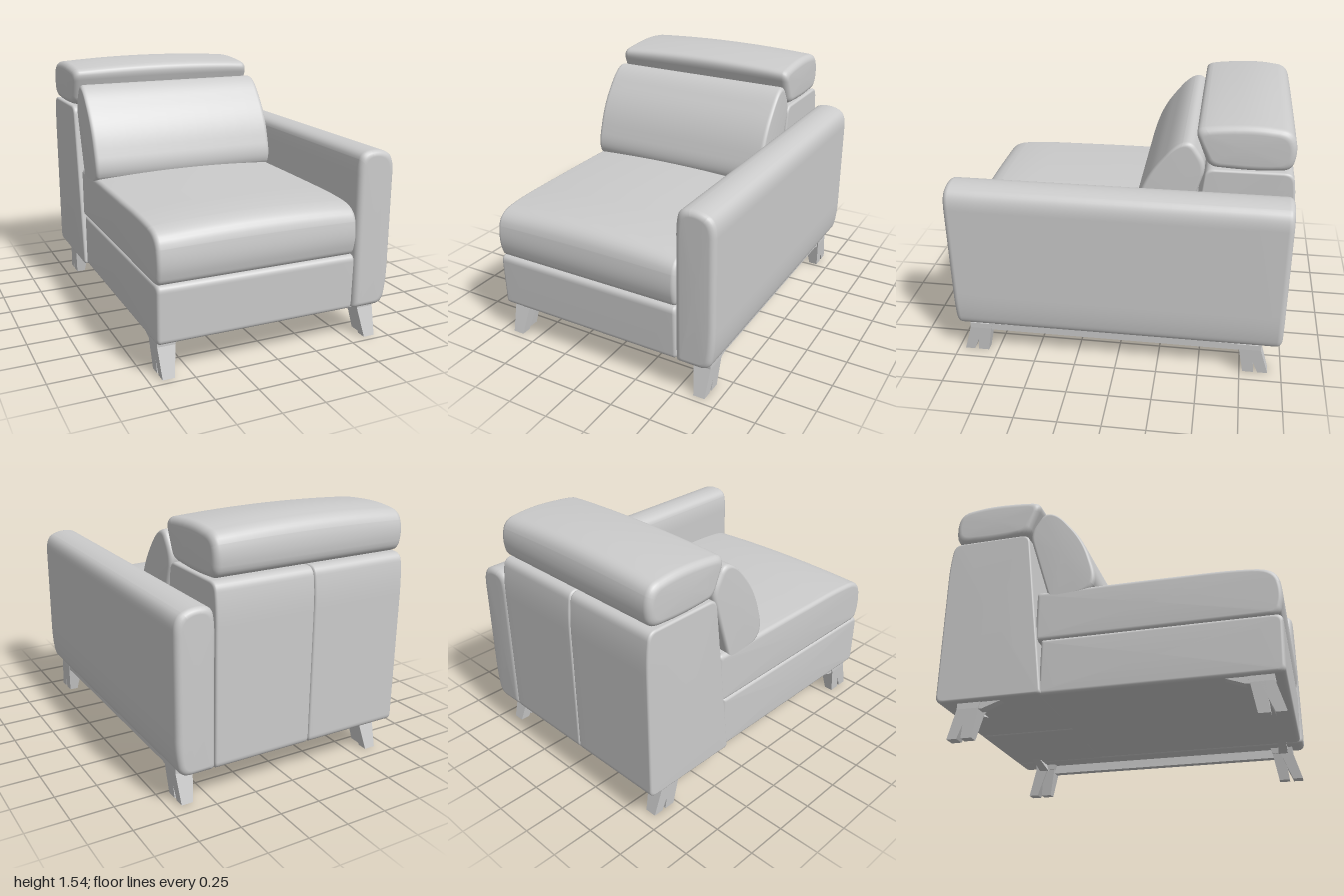
import * as THREE from 'three';

const material = new THREE.MeshStandardMaterial({ color: 0xcccccc, roughness: 0.8 });

// Closed outline from corners [a, b, radius], each corner rounded
function roundedOutline(corners) {
  const shape = new THREE.Shape();
  const n = corners.length;
  corners.forEach(([a, b, r = 0.02], i) => {
    const p = new THREE.Vector2(a, b);
    const [before, after] = [corners[(i + n - 1) % n], corners[(i + 1) % n]].map(([x, y]) => {
      const d = new THREE.Vector2(x, y).sub(p);
      return d.setLength(Math.min(r, d.length() * 0.49)).add(p);
    });
    if (i === 0) shape.moveTo(before.x, before.y);
    else shape.lineTo(before.x, before.y);
    shape.quadraticCurveTo(p.x, p.y, after.x, after.y);
  });
  shape.closePath();
  const points = shape.getPoints(7);
  points.pop();
  if (THREE.ShapeUtils.area(points) < 0) points.reverse();
  return points;
}

// Upholstered body: outline swept along z with rounded ends and an optional crown
function upholstery(corners, from, to, { round = 0.03, crown = 0, puff = 0.006 } = {}) {
  const outline = roundedOutline(corners);
  const box = new THREE.Box2().setFromPoints(outline);
  const c = box.getCenter(new THREE.Vector2());
  const half = box.getSize(new THREE.Vector2()).multiplyScalar(0.5);
  const rings = [];
  for (let i = 0; i <= 5; i++) {
    const a = (i / 5) * Math.PI / 2;
    rings.push([from + round * (1 - Math.cos(a)), round * (1 - Math.sin(a))]);
  }
  const ends = rings.map(([t, inset]) => [from + to - t, inset]).reverse();
  for (let i = 1; i < 12; i++) {
    rings.push([THREE.MathUtils.lerp(from + round, to - round, i / 12), 0]);
  }
  rings.push(...ends);

  const positions = [];
  const index = [];
  const n = outline.length;
  for (const [t, inset] of rings) {
    const u = (2 * (t - from)) / (to - from) - 1;
    for (const p of outline) {
      const dx = (p.x - c.x) / half.x;
      const dy = (p.y - c.y) / half.y;
      const lift = crown * (1 - u * u) * Math.max(0, dy);
      positions.push(c.x + dx * (half.x - inset), c.y + dy * (half.y - inset) + lift, t);
    }
  }
  for (let r = 0; r < rings.length - 1; r++) {
    for (let i = 0; i < n; i++) {
      const a = r * n + i;
      const b = r * n + (i + 1) % n;
      index.push(a, b, b + n, a, b + n, a + n);
    }
  }
  const first = positions.length / 3;
  positions.push(c.x, c.y, from - puff, c.x, c.y, to + puff);
  const last = (rings.length - 1) * n;
  for (let i = 0; i < n; i++) {
    const j = (i + 1) % n;
    index.push(first, j, i, first + 1, last + i, last + j);
  }
  const g = new THREE.BufferGeometry();
  g.setAttribute('position', new THREE.Float32BufferAttribute(positions, 3));
  g.setIndex(index);
  g.computeVertexNormals();
  return g;
}

// Same, but with a side profile of [z, y, radius] swept across x
function acrossX(profile, from, to, options) {
  const corners = profile.map(([z, y, r]) => [-z, y, r]);
  return upholstery(corners, from, to, options).rotateY(Math.PI / 2);
}

// Box spanning two rectangles: [x0, x1, z0, z1] at the bottom and at the top
function taperedBlock(bottom, top, y0, y1) {
  const g = new THREE.BoxGeometry(1, 1, 1);
  const p = g.attributes.position;
  for (let i = 0; i < p.count; i++) {
    const up = p.getY(i) > 0;
    const s = up ? top : bottom;
    p.setXYZ(i, p.getX(i) < 0 ? s[0] : s[1], up ? y1 : y0, p.getZ(i) < 0 ? s[2] : s[3]);
  }
  g.computeVertexNormals();
  return g;
}

function addMesh(parent, name, geometry) {
  const mesh = new THREE.Mesh(geometry, material);
  mesh.name = name;
  parent.add(mesh);
  return mesh;
}

// Splayed two-pronged foot with tapering brackets; sx, sz choose the corner
function makeLeg(name, sx, sz) {
  const leg = new THREE.Group();
  leg.name = name;
  const add = (part, bottom, top, y0, y1) => {
    const flip = ([x0, x1, z0, z1]) => [
      ...[x0 * sx, x1 * sx].sort((a, b) => a - b),
      ...[z0 * sz, z1 * sz].sort((a, b) => a - b),
    ];
    addMesh(leg, part, taperedBlock(flip(bottom), flip(top), y0, y1));
  };
  add('outerProng', [0.605, 0.675, 0.88, 0.94], [0.58, 0.685, 0.81, 0.89], 0, 0.17);
  add('innerProng', [0.62, 0.675, 0.79, 0.855], [0.59, 0.685, 0.76, 0.84], 0, 0.17);
  add('mount', [0.58, 0.685, 0.76, 0.89], [0.575, 0.685, 0.75, 0.89], 0.17, 0.205);
  add('sideBracket', [0.57, 0.6, 0.8, 0.86], [0.43, 0.6, 0.81, 0.86], 0.165, 0.205);
  add('lengthBracket', [0.62, 0.68, 0.74, 0.8], [0.63, 0.68, 0.63, 0.8], 0.165, 0.205);
  leg.position.z = 0.02;
  return leg;
}

export function createModel() {
  const chair = new THREE.Group();
  chair.name = 'oneArmedSofaSection';

  // Seat base and cushion
  addMesh(chair, 'seatBase', acrossX(
    [[-0.38, 0.205, 0.01], [0.97, 0.205, 0.03], [0.98, 0.54, 0.04], [-0.38, 0.54, 0.01]],
    -0.705, 0.5, { round: 0.02 }));
  addMesh(chair, 'seatCushion', acrossX(
    [[-0.42, 0.535, 0.01], [0.965, 0.535, 0.04], [0.995, 0.66, 0.08], [0.965, 0.82, 0.11],
      [0.75, 0.845, 0.15], [0.2, 0.85, 0.2], [-0.42, 0.85, 0.02]],
    -0.705, 0.5, { round: 0.025, crown: 0.025 }));

  // Back frame in two panels with a centre seam
  const backProfile = [[-0.36, 0.205, 0.02], [-0.485, 1.25, 0.05], [-0.975, 1.25, 0.05],
    [-0.995, 1.1, 0.1], [-0.99, 0.205, 0.04]];
  addMesh(chair, 'leftBackPanel', acrossX(backProfile, -0.11, 0.505, { round: 0.014, puff: 0 }));
  addMesh(chair, 'rightBackPanel', acrossX(backProfile, -0.725, -0.11, { round: 0.014 }));

  // Leaning back cushion
  addMesh(chair, 'backCushion', acrossX(
    [[-0.34, 0.78, 0.05], [-0.1, 0.82, 0.06], [-0.06, 0.91, 0.08], [-0.14, 1.17, 0.15],
      [-0.31, 1.38, 0.08], [-0.4, 1.415, 0.05], [-0.495, 1.27, 0.07]],
    -0.705, 0.505, { round: 0.025 }));

  // Headrest, higher in the middle
  addMesh(chair, 'headrest', acrossX(
    [[-0.5, 1.26, 0.05], [-0.415, 1.48, 0.06], [-0.53, 1.5, 0.1], [-0.76, 1.515, 0.15],
      [-0.95, 1.49, 0.06], [-0.985, 1.39, 0.08], [-0.965, 1.26, 0.06], [-0.75, 1.245, 0.15]],
    -0.725, 0.505, { round: 0.04, crown: 0.025, puff: 0.004 }));

  // Arm on the left side
  addMesh(chair, 'armrest', upholstery(
    [[0.5, 0.205, 0.02], [0.71, 0.205, 0.06], [0.735, 0.35, 0.1], [0.735, 1.1, 0.09],
      [0.64, 1.145, 0.08], [0.52, 1.135, 0.07], [0.5, 1.05, 0.06]],
    -0.99, 0.985, { round: 0.035, puff: 0.003 }));

  // Rail under the arm
  const rail = addMesh(chair, 'underRail', new THREE.BoxGeometry(0.05, 0.055, 1.62));
  rail.position.set(0.64, 0.178, 0.02);

  // Legs
  const front = [['frontLeftLeg', 1, 1], ['frontRightLeg', -1, 1]];
  const rear = [['rearLeftLeg', 1, -1], ['rearRightLeg', -1, -1]];
  for (const [name, sx, sz] of [...front, ...rear]) chair.add(makeLeg(name, sx, sz));

  return chair;
}
